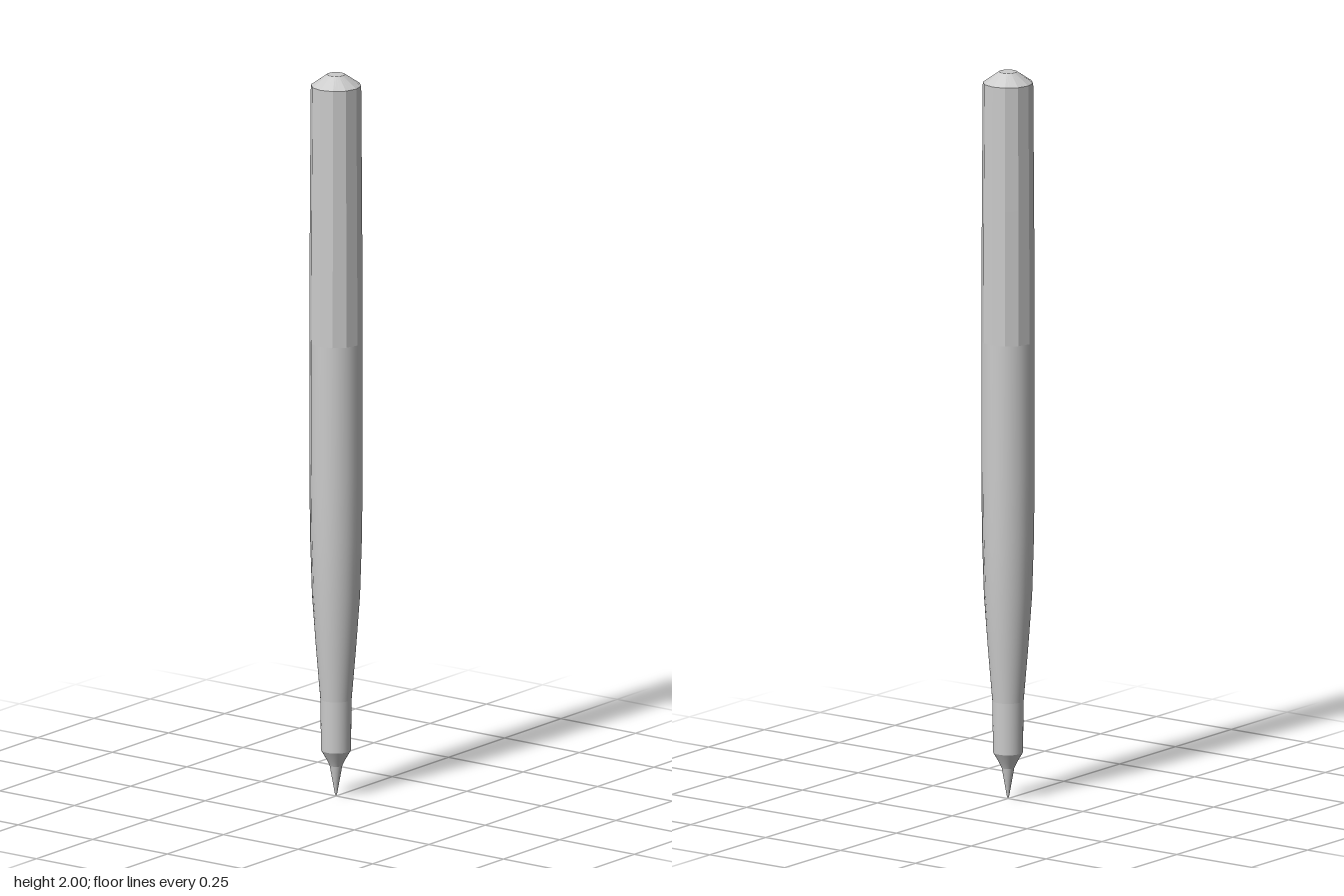
import * as THREE from 'three';

const SIDES = 12, SEGMENTS = 48;

// Lathe whose rings blend from a circle (0) to a twelve-sided polygon (1).
// Each profile point is [radius, y, polygon amount].
function turned(name, profile, faceted = false) {
  const geo = new THREE.LatheGeometry(
    profile.map(([r, y]) => new THREE.Vector2(r, y)), SEGMENTS);
  const pos = geo.attributes.position;
  const step = (Math.PI * 2) / SIDES;
  for (let i = 0; i < pos.count; i++) {
    const angle = Math.floor(i / profile.length) * Math.PI * 2 / SEGMENTS;
    const amount = profile[i % profile.length][2];
    const offset = (angle % step) - step / 2;
    const flat = Math.min(1, Math.cos(step / 2) / Math.cos(offset));
    const k = 1 + (flat - 1) * amount;
    pos.setXYZ(i, pos.getX(i) * k, pos.getY(i), pos.getZ(i) * k);
  }
  const mesh = new THREE.Mesh(geo,
    new THREE.MeshStandardMaterial({ color: 0xcccccc, flatShading: faceted }));
  mesh.name = name;
  return mesh;
}

export function createModel() {
  const group = new THREE.Group();
  group.name = 'stylus';

  // Pointed nib and the flared collar above it
  group.add(turned('nib', [[0, 0, 0], [0.003, 0.006, 0], [0.017, 0.085, 0]]));
  group.add(turned('collar', [[0.017, 0.085, 0], [0.024, 0.1, 0], [0.04, 0.128, 0]]));

  // Grip swelling smoothly from a round neck into the barrel
  group.add(turned('neck', [[0.04, 0.128, 0], [0.042, 0.27, 0]]));
  group.add(turned('grip', [
    [0.042, 0.27, 0], [0.054, 0.41, 0.3], [0.065, 0.56, 0.7],
    [0.07, 0.72, 1], [0.072, 0.9, 1], [0.072, 1.26, 1],
  ]));

  // Twelve-sided upper barrel, tapering slightly
  group.add(turned('barrel', [[0.072, 1.26, 1], [0.0705, 1.63, 1], [0.068, 1.97, 1]], true));

  // Bevelled end cap with a small round flat
  group.add(turned('endCap', [[0.068, 1.97, 1], [0.024, 2, 0]], true));
  group.add(turned('endDisc', [[0.024, 2, 0], [0, 2, 0]], true));

  return group;
}
